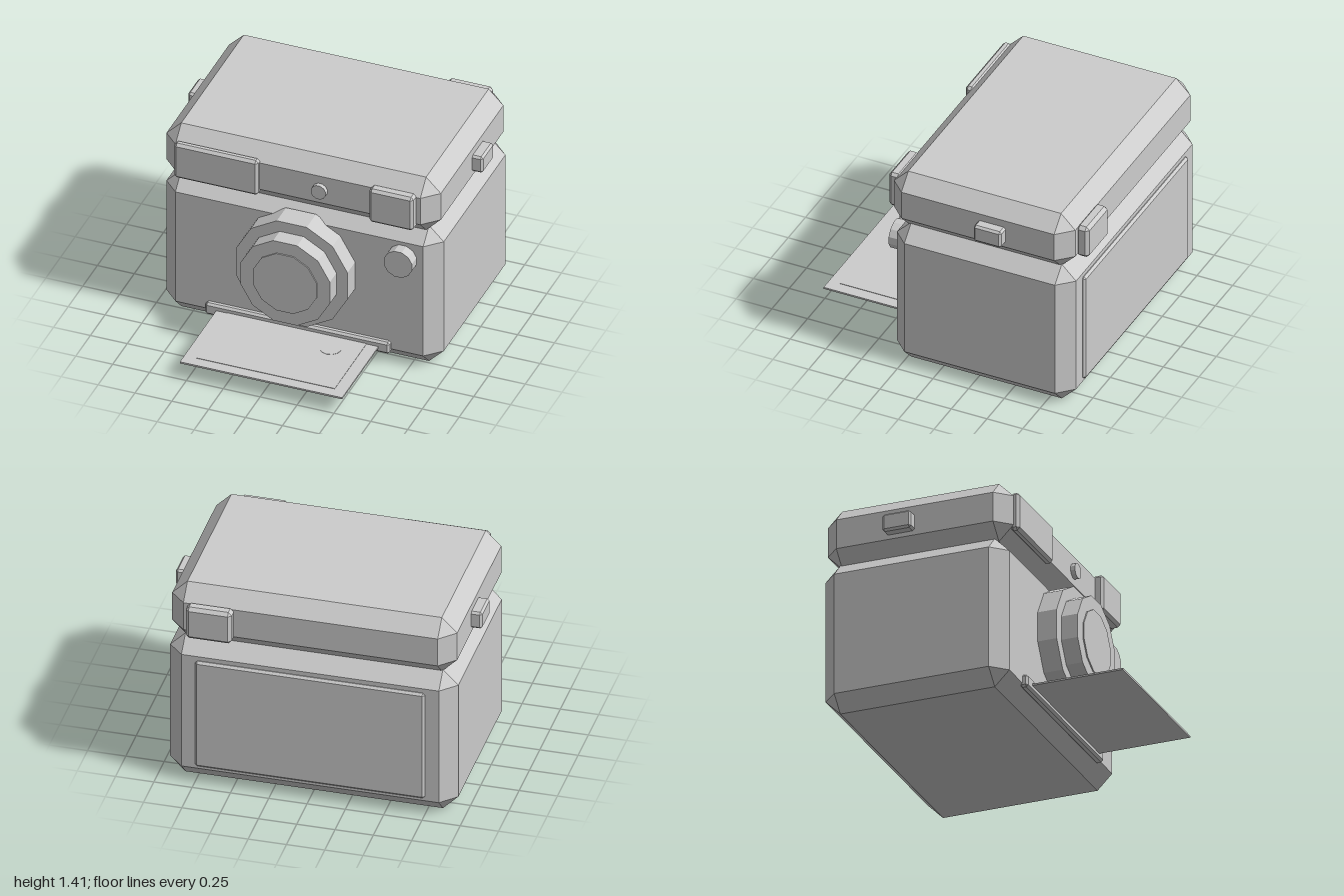
import * as THREE from 'three';
import { ConvexGeometry } from 'three/addons/geometries/ConvexGeometry.js';

export function createModel() {
  const model = new THREE.Group();
  model.name = 'instantCamera';
  const grey = new THREE.MeshStandardMaterial({ color: 0xcccccc, flatShading: true });
  grey.name = 'plain grey';

  function add(name, geometry, x = 0, y = 0, z = 0) {
    const mesh = new THREE.Mesh(geometry, grey);
    mesh.name = name;
    mesh.position.set(x, y, z);
    model.add(mesh);
    return mesh;
  }

  // Box between two corners with every edge cut at 45 degrees
  function chamferBox(name, [x0, x1], [y0, y1], [z0, z1], c) {
    const half = [(x1 - x0) / 2, (y1 - y0) / 2, (z1 - z0) / 2];
    const points = [];
    for (const sx of [-1, 1]) for (const sy of [-1, 1]) for (const sz of [-1, 1]) {
      const s = [sx, sy, sz];
      for (let axis = 0; axis < 3; axis++) {
        points.push(new THREE.Vector3(...s.map((v, i) => v * (half[i] - (i === axis ? 0 : c)))));
      }
    }
    return add(name, new ConvexGeometry(points), (x0 + x1) / 2, (y0 + y1) / 2, (z0 + z1) / 2);
  }

  // Twelve-sided drum along z; r is measured to the flats
  function drum(name, x, y, z0, z1, r) {
    const g = new THREE.CylinderGeometry(r / Math.cos(Math.PI / 12), r / Math.cos(Math.PI / 12), z1 - z0, 12);
    g.rotateY(Math.PI / 12);
    g.rotateX(Math.PI / 2);
    return add(name, g, x, y, (z0 + z1) / 2);
  }

  // Lower body and top housing
  chamferBox('body', [-0.94, 0.94], [0, 1.03], [-0.925, 0.33], 0.1);
  chamferBox('topHousing', [-0.93, 0.93], [1.01, 1.41], [-0.915, 0.355], 0.1);

  // Flash, viewfinder front and eyepiece
  chamferBox('flash', [-0.83, -0.26], [1.075, 1.335], [0.33, 0.39], 0.018);
  chamferBox('viewfinder', [0.5, 0.8], [1.08, 1.33], [0.33, 0.41], 0.018);
  chamferBox('eyepiece', [0.5, 0.8], [1.09, 1.32], [-0.99, -0.9], 0.022);

  // Strap lugs on both sides
  for (const side of [-1, 1]) {
    const xs = side > 0 ? [0.9, 1] : [-1, -0.9];
    chamferBox(side > 0 ? 'leftStrapLug' : 'rightStrapLug', xs, [1.14, 1.26], [-0.475, -0.28], 0.014);
  }

  // Lens barrel, light sensor and shutter button
  drum('lensRing', 0, 0.597, 0.3, 0.46, 0.378);
  drum('lensBarrel', 0, 0.597, 0.44, 0.572, 0.303);
  drum('lensGlass', 0, 0.597, 0.565, 0.58, 0.215);
  drum('lightSensor', 0.15, 1.205, 0.33, 0.385, 0.05);
  drum('shutterButton', 0.7, 0.81, 0.3, 0.41, 0.095);

  // Film door on the back
  chamferBox('filmDoor', [-0.75, 0.75], [0.12, 0.9], [-0.945, -0.9], 0.015);

  // Ejection slot with the print sliding out
  chamferBox('printSlot', [-0.628, 0.622], [0.075, 0.16], [0.31, 0.365], 0.014);
  add('print', new THREE.BoxGeometry(1.1, 0.012, 0.68), 0, 0.115, 0.645);
  add('printPicture', new THREE.BoxGeometry(0.94, 0.004, 0.56), 0, 0.122, 0.63);
  add('printSun', new THREE.CylinderGeometry(0.07, 0.07, 0.004, 12), 0.28, 0.124, 0.5);

  return model;
}
